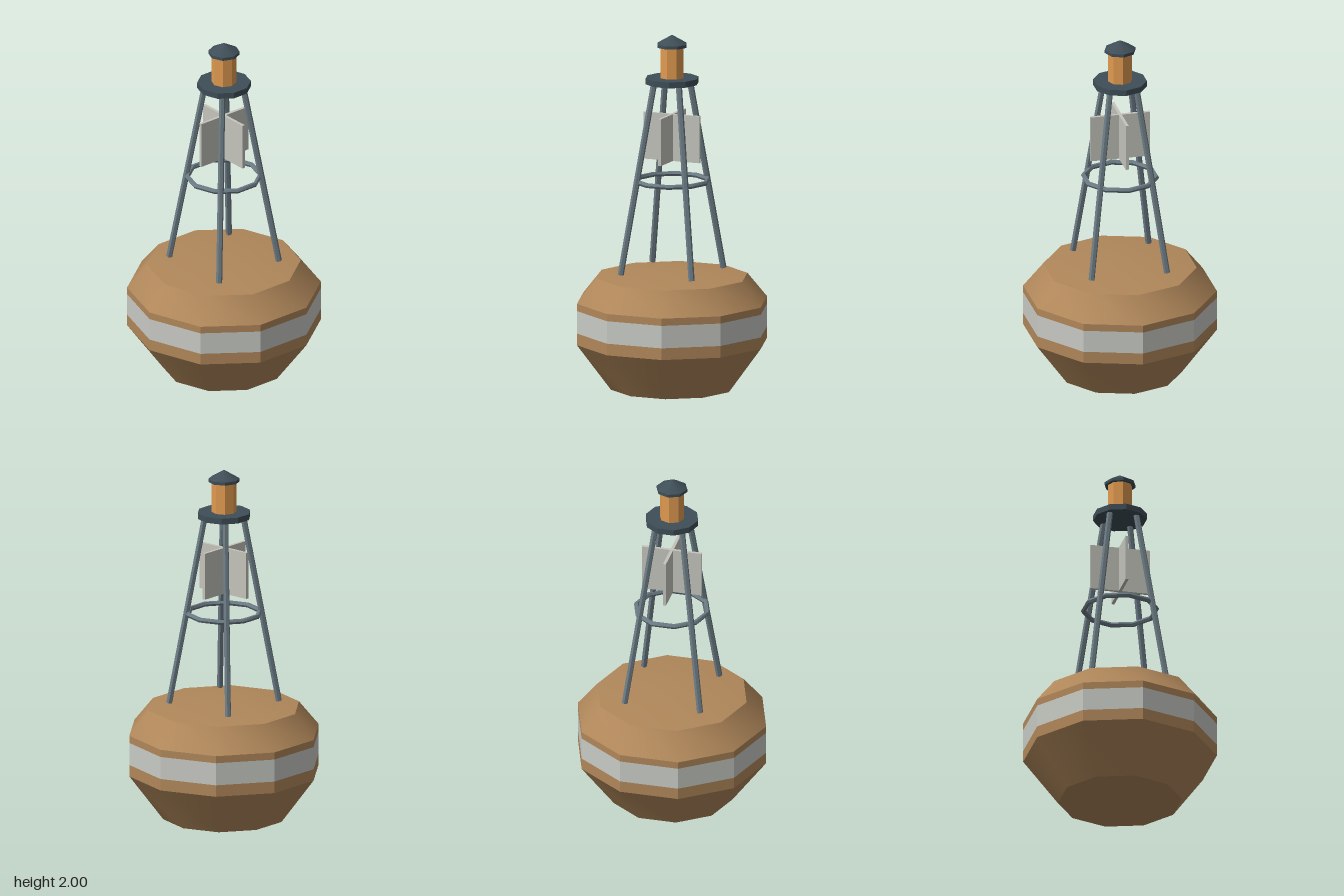
import * as THREE from 'three';
import { toCreasedNormals } from 'three/addons/utils/BufferGeometryUtils.js';

const material = (name, color, side = THREE.FrontSide) =>
  Object.assign(new THREE.MeshStandardMaterial({ color, side }), { name });

export function createModel() {
  const hullPaint = material('hull orange brown', 0xb0875a);
  const stripePaint = material('stripe pale grey', 0xc8cac4);
  const vanePaint = material('reflector grey', 0xc4c4bc);
  const steel = material('tower steel', 0x6c7c85);
  const darkSteel = material('dark steel', 0x3f4e57);
  const amber = material('lantern amber', 0xe09a50);

  const model = new THREE.Group();
  model.name = 'buoy';
  const crease = THREE.MathUtils.degToRad(32);

  const add = (name, geometry, mat, parent = model) => {
    const mesh = new THREE.Mesh(toCreasedNormals(geometry, crease), mat);
    mesh.name = name;
    parent.add(mesh);
    return mesh;
  };

  // Ring of faces around the y axis, first corner on +x
  const turned = (name, profile, sides, mat) =>
    add(name, new THREE.LatheGeometry(
      profile.map(([r, y]) => new THREE.Vector2(r, y)), sides, Math.PI / 2), mat);

  // Ten-sided float with a painted band round its waist
  turned('lowerHull', [[0, 0], [0.34, 0.04], [0.53, 0.295], [0.53, 0.36]], 10, hullPaint);
  turned('stripe', [[0.53, 0.36], [0.53, 0.485]], 10, stripePaint);
  turned('upperHull', [[0.53, 0.485], [0.53, 0.525], [0.42, 0.66], [0, 0.7]], 10, hullPaint);

  // Four leaning legs
  const legs = new THREE.Group();
  legs.name = 'legs';
  model.add(legs);
  const up = new THREE.Vector3(0, 1, 0);
  for (const sx of [-1, 1]) for (const sz of [-1, 1]) {
    const foot = new THREE.Vector3(0.212 * sx, 0.685, 0.212 * sz);
    const head = new THREE.Vector3(0.073 * sx, 1.745, 0.073 * sz);
    const span = head.clone().sub(foot);
    const leg = add('leg', new THREE.CylinderGeometry(0.017, 0.017, span.length(), 6), steel, legs);
    leg.position.copy(foot).add(head).multiplyScalar(0.5);
    leg.quaternion.setFromUnitVectors(up, span.normalize());
  }

  // Brace ring
  const brace = add('braceRing', new THREE.TorusGeometry(0.2, 0.014, 6, 10).rotateX(Math.PI / 2), steel);
  brace.position.y = 1.19;

  // Crossed radar reflector plates
  const reflector = new THREE.Group();
  reflector.name = 'radarReflector';
  reflector.position.y = 1.43;
  model.add(reflector);
  for (const angle of [0, Math.PI / 2]) {
    add('reflectorPlate', new THREE.BoxGeometry(0.335, 0.26, 0.017), vanePaint, reflector).rotation.y = angle;
  }

  // Platform, lantern and roof
  turned('platform', [[0, 1.73], [0.147, 1.73], [0.147, 1.763], [0, 1.763]], 10, darkSteel);
  turned('lantern', [[0, 1.76], [0.068, 1.76], [0.068, 1.94], [0, 1.94]], 8, amber);
  turned('lanternRoof', [[0, 1.933], [0.086, 1.933], [0.086, 1.95], [0, 2]], 8, darkSteel);

  return model;
}
